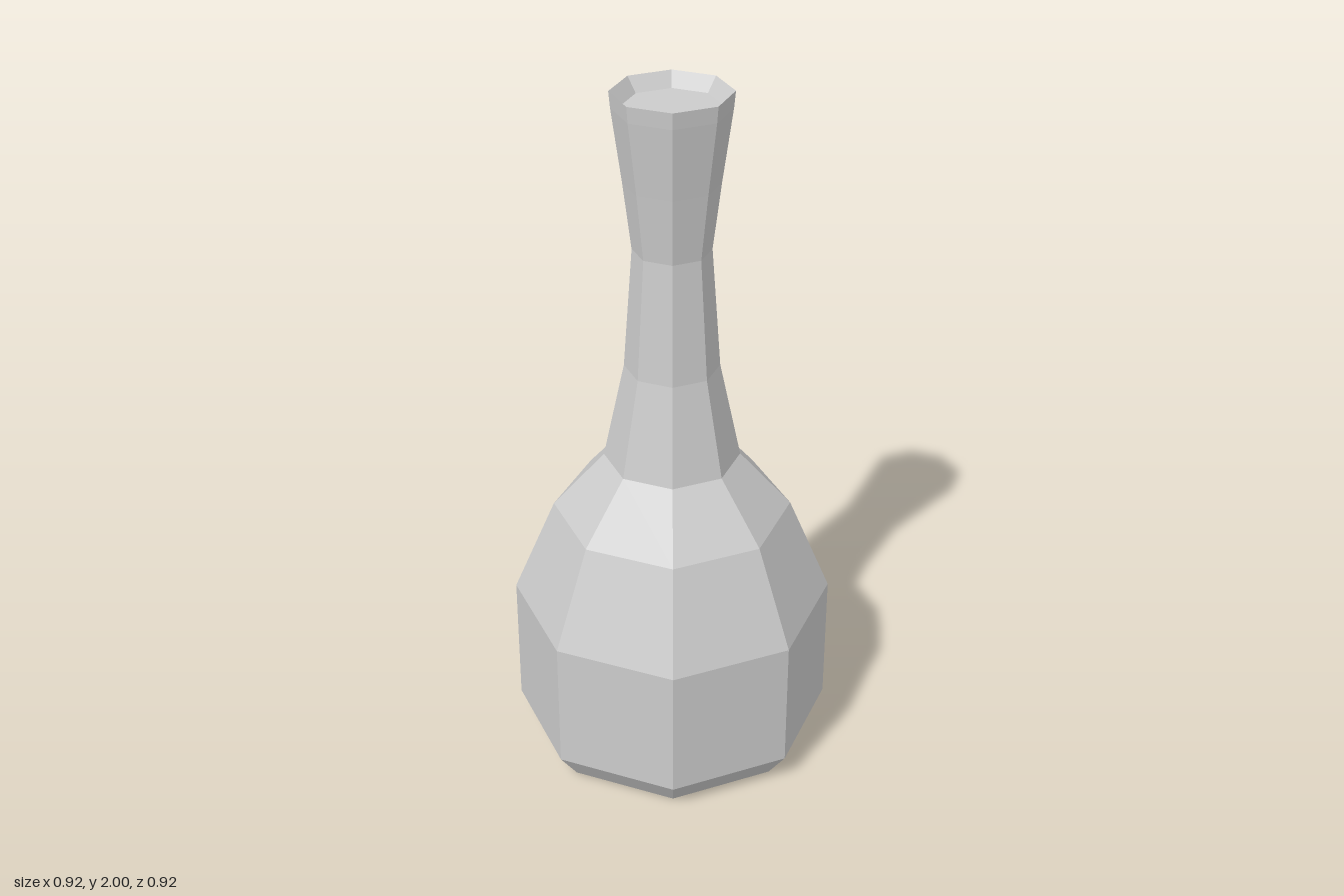
import * as THREE from 'three';

export function createModel() {
  const group = new THREE.Group();
  group.name = 'bottle';
  const material = new THREE.MeshStandardMaterial({ color: 0xcccccc, flatShading: true });

  // Turns a [radius, height] profile into an eight-sided faceted part
  const addTurned = (name, profile) => {
    const points = profile.map(([r, y]) => new THREE.Vector2(r, y));
    const mesh = new THREE.Mesh(new THREE.LatheGeometry(points, 8), material);
    mesh.name = name;
    group.add(mesh);
  };

  // Flat base, bevelled foot, straight body and tapering shoulder
  addTurned('body', [
    [0, 0], [0.4, 0], [0.46, 0.085], [0.46, 0.475], [0.34, 0.76], [0.193, 0.925],
  ]);

  // Slender neck, narrowest at three quarters of the height, then flaring
  addTurned('neck', [
    [0.193, 0.925], [0.133, 1.21], [0.108, 1.56], [0.131, 1.75], [0.159, 1.955],
  ]);

  // Lip with a shallow sloping recess closed by a flat disc
  addTurned('lip', [[0.159, 1.955], [0.163, 2], [0.133, 1.96], [0, 1.96]]);

  return group;
}
